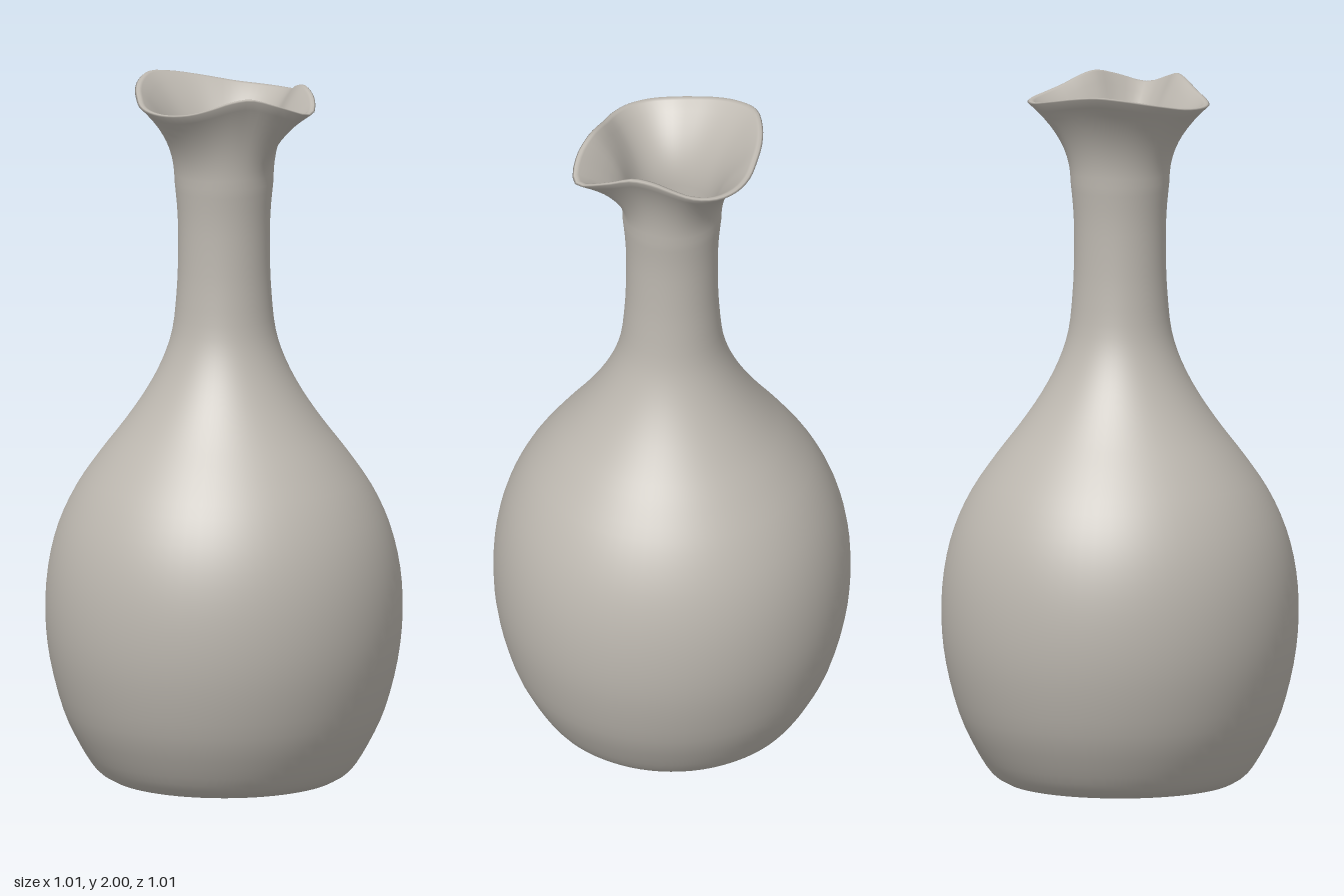
import * as THREE from 'three';

const SEGMENTS = 72;

// Rim radius and height every 15 degrees, from the spout (front) round to the back
const rimRadius = [0.315, 0.282, 0.242, 0.225, 0.227, 0.245, 0.26, 0.262, 0.256, 0.25, 0.255, 0.265, 0.275];
const rimHeight = [1.95, 1.975, 1.995, 1.987, 1.968, 1.952, 1.945, 1.945, 1.95, 1.962, 1.975, 1.988, 1.996];

// Closed curve holding (radius, height), mirrored left to right
function makeRim() {
  const points = [];
  for (let i = 0; i < 24; i++) {
    const k = i <= 12 ? i : 24 - i;
    points.push(new THREE.Vector3(rimRadius[k], rimHeight[k], 0));
  }
  return new THREE.CatmullRomCurve3(points, true, 'catmullrom', 0.5);
}

function spline(points, count) {
  return new THREE.SplineCurve(points.map(([r, y]) => new THREE.Vector2(r, y))).getPoints(count);
}

// Skin a list of rings; each ring maps a rim sample to [radius, height]
function skin(rings) {
  const rim = makeRim();
  const positions = [], indices = [];
  rings.forEach((ring, i) => {
    for (let j = 0; j < SEGMENTS; j++) {
      const angle = (j / SEGMENTS) * Math.PI * 2;
      const [r, y] = ring(rim.getPoint(j / SEGMENTS));
      positions.push(r * Math.sin(angle), y, r * Math.cos(angle));
      if (i === rings.length - 1) continue;
      const a = i * SEGMENTS + j, b = i * SEGMENTS + (j + 1) % SEGMENTS;
      indices.push(a, b, a + SEGMENTS, b, b + SEGMENTS, a + SEGMENTS);
    }
  });
  const geometry = new THREE.BufferGeometry();
  geometry.setAttribute('position', new THREE.Float32BufferAttribute(positions, 3));
  geometry.setIndex(indices);
  geometry.computeVertexNormals();
  return geometry;
}

export function createModel() {
  const group = new THREE.Group();
  group.name = 'carafe';
  const clay = new THREE.MeshStandardMaterial({ color: 0xbdb8b0 });
  clay.name = 'warm grey clay';

  const round = (p) => () => [p.x, p.y];
  const rings = [];

  // Flat base
  for (const r of [0, 0.15, 0.29]) rings.push(() => [r, 0]);

  // Outer belly, shoulder and neck
  spline([
    [0.325, 0.003], [0.365, 0.03], [0.41, 0.1], [0.456, 0.2], [0.492, 0.34], [0.505, 0.47],
    [0.498, 0.6], [0.47, 0.72], [0.42, 0.83], [0.352, 0.93], [0.283, 1.02], [0.222, 1.11],
    [0.175, 1.2], [0.146, 1.29], [0.134, 1.4], [0.13, 1.5], [0.131, 1.62], [0.14, 1.72],
  ], 51).forEach((p) => rings.push(round(p)));

  // Flared outer mouth, blending from the round neck to the shaped rim
  const flare = (s, start, inset) => (p) => [
    THREE.MathUtils.lerp(start, p.x - inset, s ** 2.1),
    THREE.MathUtils.lerp(1.72, p.y + inset * 0.1, s),
  ];
  for (let k = 1; k <= 10; k++) rings.push(flare(k / 10, 0.14, 0));

  // Rounded lip
  rings.push((p) => [p.x - 0.005, p.y + 0.004]);
  rings.push((p) => [p.x - 0.013, p.y + 0.004]);

  // Inner mouth
  for (let k = 10; k >= 1; k--) rings.push(flare(k / 10, 0.114, 0.02));

  // Inner wall and floor
  spline([
    [0.114, 1.72], [0.106, 1.6], [0.105, 1.48], [0.112, 1.36], [0.148, 1.2], [0.255, 1.02],
    [0.39, 0.83], [0.468, 0.6], [0.475, 0.45], [0.43, 0.2], [0.34, 0.05], [0.28, 0.03],
  ], 44).forEach((p) => rings.push(round(p)));
  for (const r of [0.14, 0]) rings.push(() => [r, 0.03]);

  const vessel = new THREE.Mesh(skin(rings), clay);
  vessel.name = 'vesselWithSpout';
  group.add(vessel);
  return group;
}
